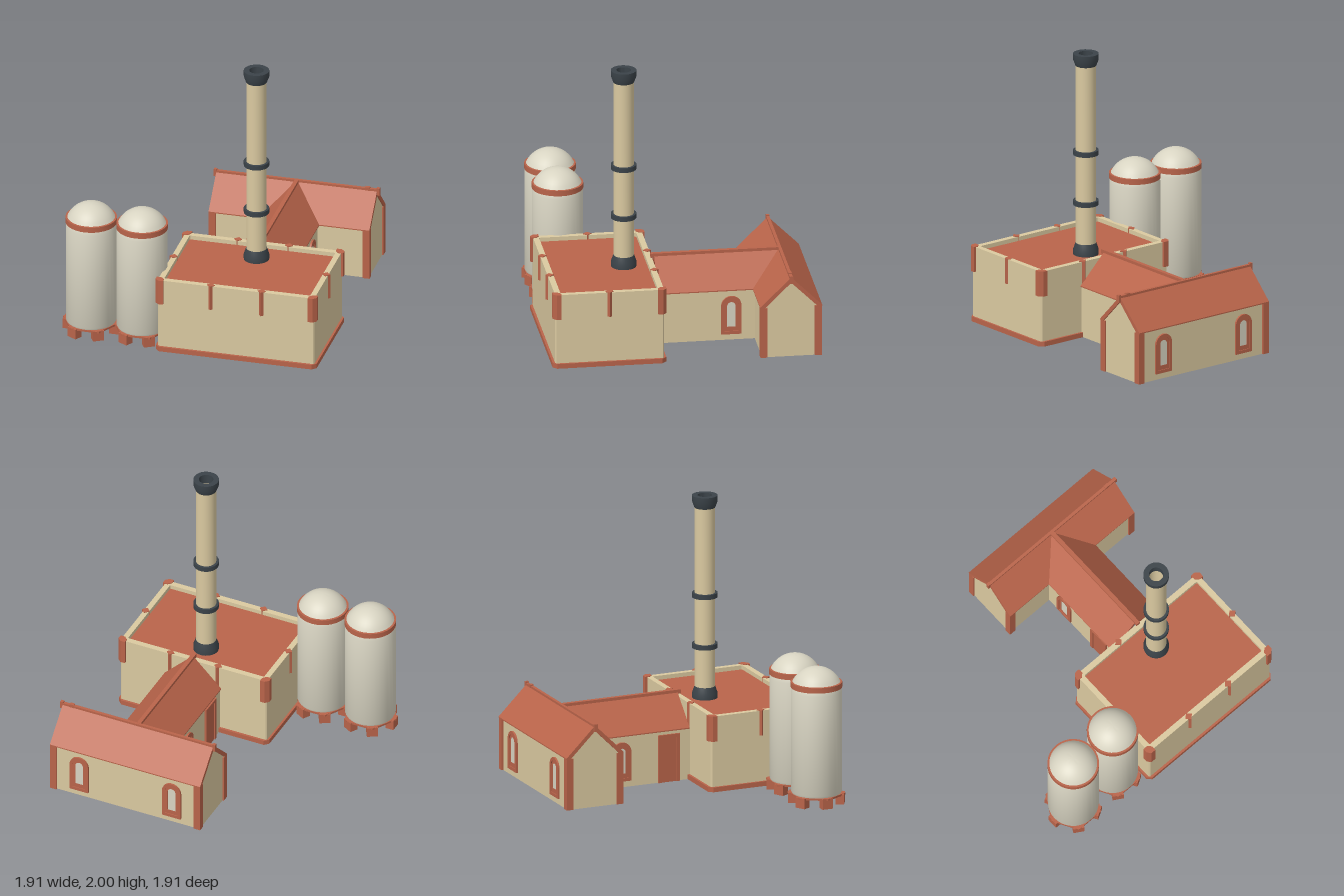
import * as THREE from 'three';
import { toCreasedNormals } from 'three/addons/utils/BufferGeometryUtils.js';

const mat = (name, color, side = THREE.FrontSide) => {
  const m = new THREE.MeshStandardMaterial({ color, side });
  m.name = name;
  return m;
};
const V = (x, y) => new THREE.Vector2(x, y);

export function createModel() {
  const stone = mat('sandstone', 0xdac9a0);
  const red = mat('terracotta', 0xb9644a);
  const iron = mat('dark iron', 0x3b4349);
  const pale = mat('pale plaster', 0xd8d4c2);
  const model = new THREE.Group();

  const add = (parent, name, geo, material, x = 0, y = 0, z = 0) => {
    const m = new THREE.Mesh(geo, material);
    m.name = name;
    m.position.set(x, y, z);
    parent.add(m);
    return m;
  };
  const group = (name, x = 0, y = 0, z = 0, parent = model) => {
    const g = new THREE.Group();
    g.name = name;
    g.position.set(x, y, z);
    parent.add(g);
    return g;
  };
  const box = (w, h, d) => new THREE.BoxGeometry(w, h, d);
  const extrude = (shape, depth) =>
    new THREE.ExtrudeGeometry(shape, { depth, bevelEnabled: false, curveSegments: 10 });
  // plan outline raised from y = 0 to y = h
  const raise = (shape, h) => extrude(shape, h).rotateX(-Math.PI / 2);
  const lathe = (pts, n = 32) =>
    toCreasedNormals(new THREE.LatheGeometry(pts.map(p => V(...p)), n), 0.5);
  // rectangle with cut corners
  const octagon = (a, b, c) => [
    V(a - c, -b), V(a, -b + c), V(a, b - c), V(a - c, b),
    V(-a + c, b), V(-a, b - c), V(-a, -b + c), V(-a + c, -b)];
  const ring = (outer, inner) => {
    const s = new THREE.Shape(outer);
    s.holes.push(new THREE.Path(inner));
    return s;
  };

  // main hall: open shell, footing, sunken roof
  const hall = group('hall', 0.35, 0, 0.55);
  add(hall, 'hallWalls', raise(ring(octagon(0.57, 0.387, 0.01), octagon(0.53, 0.345, 0.005)), 0.55), stone);
  add(hall, 'hallFooting', raise(ring(octagon(0.585, 0.404, 0.03), octagon(0.525, 0.34, 0.005)), 0.035), red);
  add(hall, 'hallRoof', box(1.07, 0.02, 0.7), red, 0, 0.51, 0);

  // corner buttresses and diamond wall studs
  const cornerShape = new THREE.Shape([
    V(-0.03, -0.03), V(0.005, -0.03), V(0.03, -0.005), V(0.03, 0.03), V(-0.005, 0.03), V(-0.03, 0.005)]);
  [[1, -1], [-1, -1], [-1, 1], [1, 1]].forEach(([sx, sz]) => {
    const angle = Math.atan2(-sz, sx) + Math.PI / 4;
    add(hall, 'cornerButtress', raise(cornerShape, 0.185), red, sx * 0.557, 0.37, sz * 0.374).rotation.y = angle;
  });
  const stud = (x, z) => {
    add(hall, 'wallStud', box(0.042, 0.185, 0.042), red, x, 0.4625, z).rotation.y = Math.PI / 4;
  };
  for (const s of [-1, 1]) {
    for (const x of [-0.185, 0.185]) stud(x, s * 0.372);
    stud(s * 0.555, 0);
  }

  // chimney: hollow shaft with iron foot, bands and crown
  const chimney = group('chimney', 0.35, 0, 0.37);
  add(chimney, 'shaft', lathe([[0.072, 0.53], [0.072, 1.95], [0.052, 1.95], [0.052, 0.53]]), stone);
  add(chimney, 'foot', lathe([[0.09, 0.52], [0.09, 0.555], [0.073, 0.605], [0.06, 0.605]]), iron);
  for (const y of [0.885, 1.255]) {
    add(chimney, 'band', lathe([[0.07, y], [0.09, y], [0.09, y + 0.034], [0.07, y + 0.034]]), iron);
  }
  add(chimney, 'crown', lathe([[0.07, 1.912], [0.074, 1.912], [0.09, 1.955], [0.09, 2], [0.051, 2], [0.051, 1.93]]), iron);

  // two domed silos on hexagonal feet
  const hexPts = r => Array.from({ length: 6 }, (_, i) =>
    V(r * Math.cos(i * Math.PI / 3), r * Math.sin(i * Math.PI / 3)));
  const R = 0.188, a0 = Math.asin(0.083 / R);
  const domePts = Array.from({ length: 11 }, (_, i) => {
    const a = a0 + (Math.PI / 2 - a0) * i / 10;
    return [Math.max(R * Math.cos(a), 0), 0.804 + R * Math.sin(a)];
  });
  for (const x of [-0.755, -0.385]) {
    const silo = group('silo', x, 0, 0.735);
    add(silo, 'siloBody', lathe([[0, 0.068], [0.17, 0.068], [0.18, 0.09], [0.18, 0.82], [0.17, 0.85]]), pale);
    add(silo, 'siloBand', lathe([[0.16, 0.846], [0.182, 0.846], [0.182, 0.885], [0.16, 0.885]]), red);
    add(silo, 'siloDome', lathe(domePts), pale);
    add(silo, 'siloBase', raise(ring(hexPts(0.205), hexPts(0.15)), 0.014), red, 0, 0.062, 0);
    for (let i = 0; i < 6; i++) {
      const a = i * Math.PI / 3;
      add(silo, 'siloFoot', box(0.06, 0.074, 0.08), red, 0.168 * Math.cos(a), 0.037, -0.168 * Math.sin(a))
        .rotation.y = a;
    }
  }

  // arched window facing local +z, standing on y = 0
  const archPts = (w, y0, y1) => {
    const s = new THREE.Shape();
    s.moveTo(-w, y0);
    s.lineTo(w, y0);
    s.lineTo(w, y1 - w);
    s.absarc(0, y1 - w, w, 0, Math.PI, false);
    s.closePath();
    return s;
  };
  const frame = (w, y0, y1, iw, iy0, iy1) => {
    const s = archPts(w, y0, y1);
    s.holes.push(new THREE.Path(archPts(iw, iy0, iy1).getPoints(10)));
    return s;
  };
  const addWindow = (x, z, turn) => {
    const g = group('window', x, 0, z);
    g.rotation.y = turn;
    add(g, 'windowFrame', extrude(frame(0.072, 0.045, 0.33, 0.05, 0.068, 0.308), 0.046), red, 0, 0, -0.032);
    add(g, 'windowInnerFrame', extrude(frame(0.052, 0.066, 0.31, 0.03, 0.1, 0.285), 0.036), red, 0, 0, -0.028);
    add(g, 'windowPane', extrude(archPts(0.032, 0.098, 0.287), 0.006), pale, 0, 0, 0.001);
  };

  // gabled roof running along local z
  const gableRoof = len => extrude(new THREE.Shape([
    V(0.22, 0.372), V(0.22, 0.38), V(0, 0.597), V(-0.22, 0.38), V(-0.22, 0.372), V(-0.188, 0.372),
    V(0, 0.557), V(0.188, 0.372)]), len);
  const gableWall = () => extrude(new THREE.Shape([
    V(-0.205, 0), V(0.205, 0), V(0.205, 0.372), V(0, 0.575), V(-0.205, 0.372)]), 0.02);

  // corridor wing between hall and rear block
  const wing = group('corridor', 0.35, 0, 0);
  for (const s of [-1, 1]) add(wing, 'corridorWall', box(0.02, 0.38, 0.7), stone, s * 0.195, 0.19, -0.185);
  add(wing, 'corridorRoof', gableRoof(0.89), red, 0, 0, -0.735);
  add(wing, 'corridorRidge', box(0.03, 0.03, 0.91), red, 0, 0.588, -0.275);
  addWindow(0.555, -0.365, Math.PI / 2);
  addWindow(0.145, -0.365, -Math.PI / 2);

  // door on the right side of the corridor
  const door = group('door', 0.145, 0, 0.0);
  door.rotation.y = -Math.PI / 2;
  for (const s of [-1, 1]) add(door, 'doorPost', box(0.025, 0.34, 0.046), red, s * 0.07, 0.17, -0.009);
  add(door, 'doorLintel', box(0.165, 0.025, 0.046), red, 0, 0.335, -0.009);
  add(door, 'doorLeaf', box(0.12, 0.325, 0.034), red, 0, 0.1625, -0.01);

  // rear cross block
  const rear = group('rearBlock', 0.35, 0, -0.737);
  for (const s of [-1, 1]) {
    add(rear, 'rearLongWall', box(1.13, 0.38, 0.02), stone, 0, 0.19, s * 0.195);
    add(rear, 'rearGable', gableWall().rotateY(Math.PI / 2), stone, s * 0.565 - 0.01, 0, 0);
    for (const t of [-1, 1]) {
      add(rear, 'cornerPost', box(0.05, 0.374, 0.05), red, s * 0.56, 0.187, t * 0.193);
    }
    add(rear, 'ridgeEnd', box(0.022, 0.055, 0.024), red, s * 0.592, 0.583, 0);
    addWindow(0.35 + s * 0.36, -0.942, Math.PI);
  }
  add(rear, 'rearRoof', gableRoof(1.17).rotateY(Math.PI / 2), red, -0.585, 0, 0);
  add(rear, 'rearRidge', box(1.19, 0.03, 0.022), red, 0, 0.587, 0);
  add(rear, 'ridgeVent', box(0.035, 0.03, 0.024), red, 0.515, 0.595, 0);

  return model;
}
